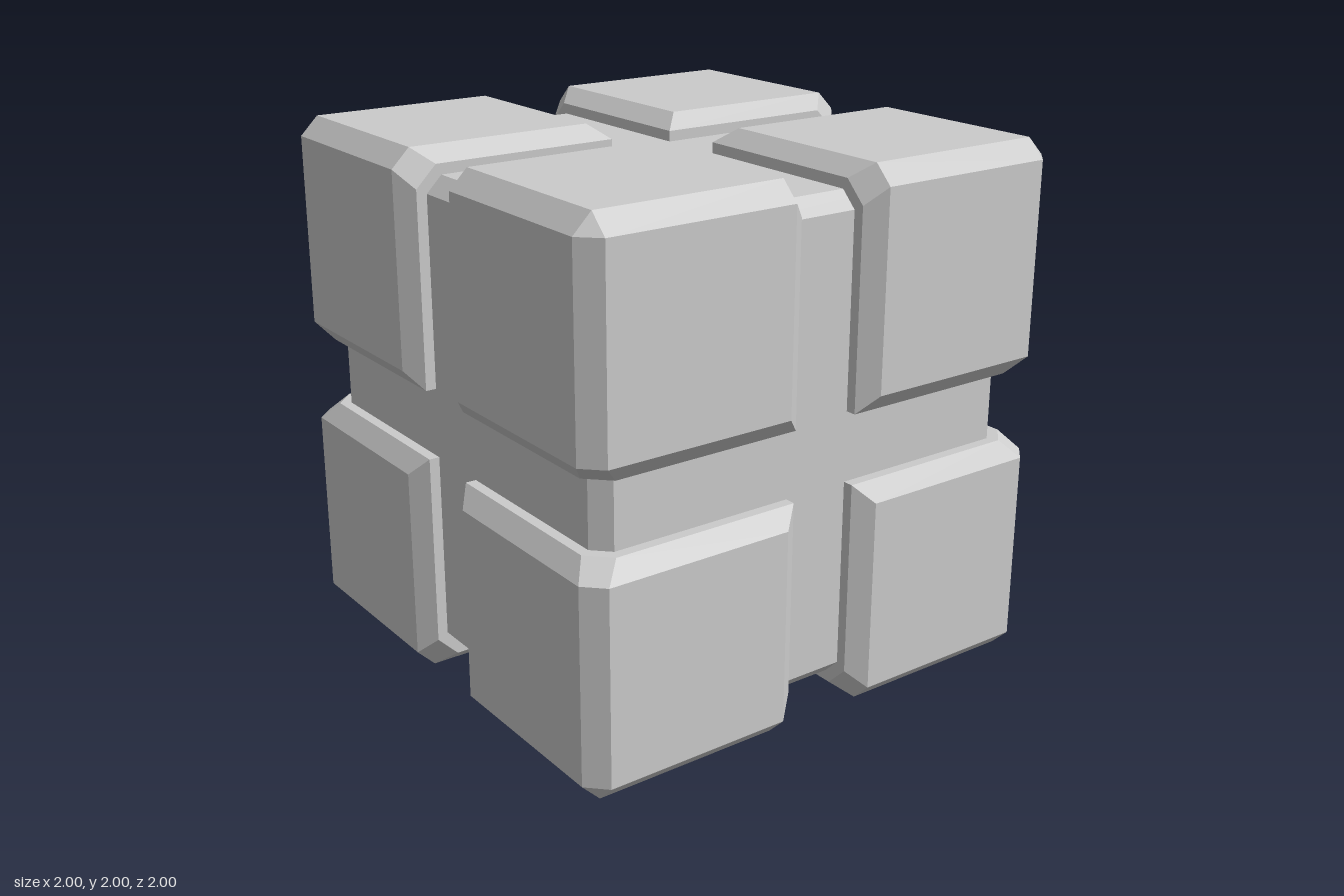
import * as THREE from 'three';
import { ConvexGeometry } from 'three/addons/geometries/ConvexGeometry.js';

const SIGNS = [-1, 1];

// Cyclic axis permutations of a point, so one face description serves x, y and z
const onAllAxes = ([a, b, c]) => [[a, b, c], [c, a, b], [b, c, a]];

function hull(points) {
  return new ConvexGeometry(points.map((p) => new THREE.Vector3(...p)));
}

export function createModel() {
  const group = new THREE.Group();
  const material = new THREE.MeshStandardMaterial({ color: 0xcccccc, flatShading: true });

  const add = (name, points) => {
    const mesh = new THREE.Mesh(hull(points), material);
    mesh.name = name;
    mesh.position.y = 1;
    group.add(mesh);
  };

  // Chamfered inner cube, visible at the bottom of the grooves
  const core = 0.905, coreFlat = 0.845;
  const corePoints = [];
  for (const a of SIGNS) for (const b of SIGNS) for (const c of SIGNS) {
    corePoints.push(...onAllAxes([a * core, b * coreFlat, c * coreFlat]));
  }
  add('core', corePoints);

  // Corner block: flat outer faces, chamfered edges, sloped lips above the groove walls
  const gap = 0.132, faceIn = 0.2, faceOut = 0.93, lip = 0.945, lipEnd = 0.865;
  const blockPoints = [[gap, gap, gap]];
  for (const a of [faceIn, faceOut]) for (const b of [faceIn, faceOut]) {
    blockPoints.push(...onAllAxes([1, a, b]));
  }
  for (const [a, b] of [[gap, gap], [gap, lipEnd], [lipEnd, gap]]) {
    blockPoints.push(...onAllAxes([lip, a, b]));
  }

  // Eight mirrored blocks, one per corner
  for (const x of SIGNS) for (const y of SIGNS) for (const z of SIGNS) {
    const name = (y > 0 ? 'upper' : 'lower') + (z > 0 ? 'Front' : 'Back') + (x > 0 ? 'Left' : 'Right') + 'Block';
    add(name, blockPoints.map(([px, py, pz]) => [px * x, py * y, pz * z]));
  }

  return group;
}
